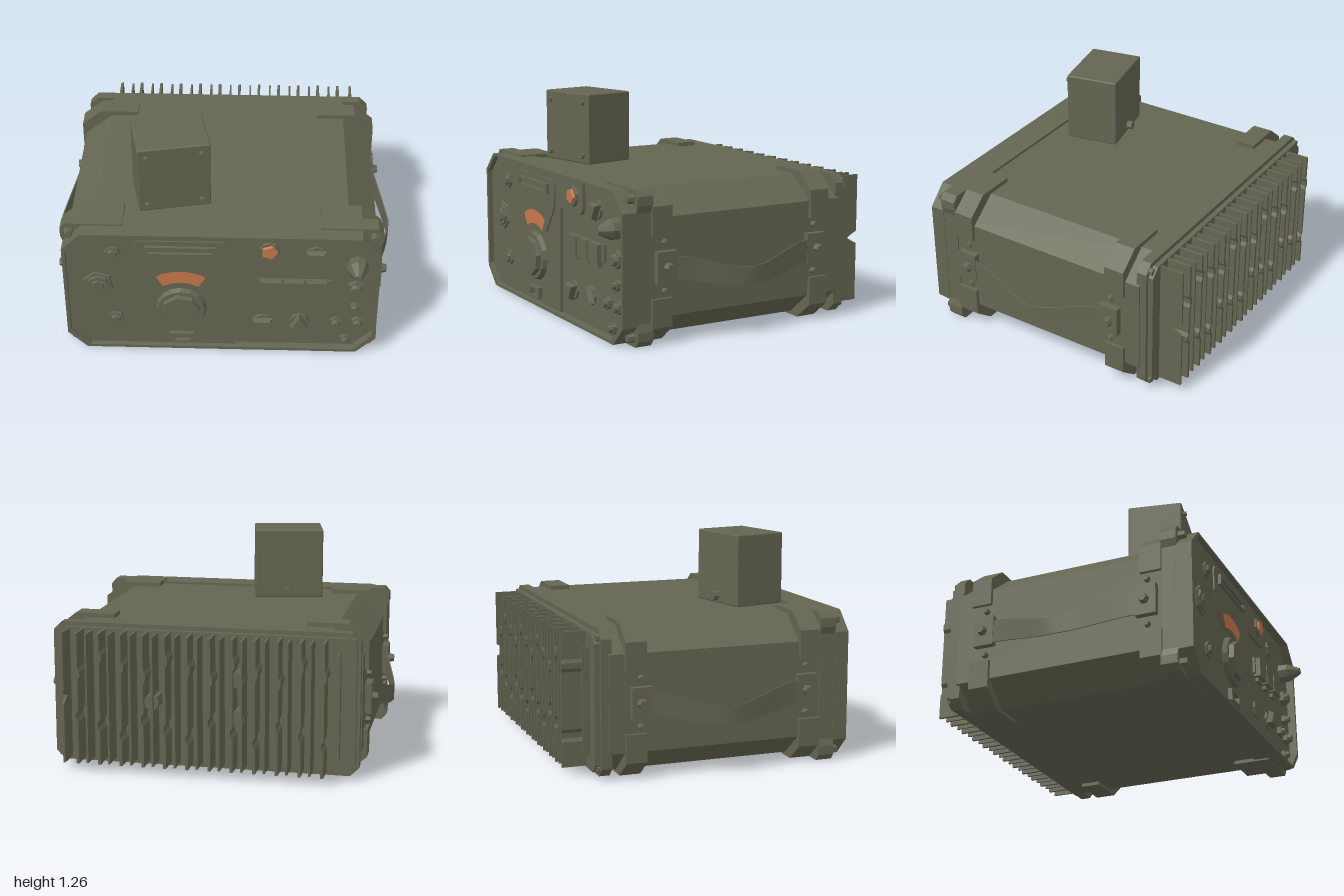
import * as THREE from 'three';
import { RoundedBoxGeometry } from 'three/addons/geometries/RoundedBoxGeometry.js';

const olive = new THREE.MeshStandardMaterial({ color: 0x646551 });
olive.name = 'olive paint';
const orange = new THREE.MeshStandardMaterial({ color: 0xc6774c });
orange.name = 'orange glass';

function add(parent, name, geo, x = 0, y = 0, z = 0, mat = olive) {
  const m = new THREE.Mesh(geo, mat);
  m.name = name;
  m.position.set(x, y, z);
  parent.add(m);
  return m;
}

const box = (p, name, w, h, d, x, y, z) => add(p, name, new THREE.BoxGeometry(w, h, d), x, y, z);

// prism along z from an outline
function prism(pts, z0, z1, hole) {
  const s = new THREE.Shape(pts.map(([x, y]) => new THREE.Vector2(x, y)));
  if (hole) s.holes.push(new THREE.Path(hole.map(([x, y]) => new THREE.Vector2(x, y))));
  const g = new THREE.ExtrudeGeometry(s, { depth: z1 - z0, bevelEnabled: false });
  return g.translate(0, 0, z0);
}

// right half outline (bottom to top) mirrored into a full one
const mirror = half => [...half, ...half.map(([x, y]) => [-x, y]).reverse()];

// rectangle with cut corners
const cutRect = (w, y0, y1, c) => mirror([[w - c, y0], [w, y0 + c], [w, y1 - c], [w - c, y1]]);

// faceted knob standing along z
function knob(p, name, x, y, z0, z1, r0, r1, n = 6, turn = 0, mat = olive) {
  const g = new THREE.CylinderGeometry(r1, r0, z1 - z0, n).toNonIndexed();
  g.computeVertexNormals();
  g.rotateX(Math.PI / 2).rotateZ(turn);
  return add(p, name, g, x, y, (z0 + z1) / 2, mat);
}

// faceted bolt standing along x
function sideBolt(p, name, x, y, z, r, len) {
  const g = new THREE.CylinderGeometry(r * 0.7, r, len, 6).toNonIndexed();
  g.computeVertexNormals();
  return add(p, name, g.rotateZ(-Math.PI / 2), x, y, z);
}

function buildCase(g) {
  add(g, 'body', prism(mirror([[0.72, 0.03], [0.882, 0.16], [0.882, 0.705], [0.715, 0.84]]), -0.64, 0.62));
  add(g, 'rearFrame', prism(cutRect(0.875, 0.03, 0.84, 0.05), -0.68, -0.62));
  add(g, 'rearPlate', prism(cutRect(0.855, 0.05, 0.815, 0.05), -0.71, -0.67));
  add(g, 'bezelBack', prism(cutRect(0.89, 0.02, 0.855, 0.04), 0.6, 0.69));
  add(g, 'bezelRim', prism(cutRect(0.893, 0.015, 0.855, 0.11), 0.69, 0.775, cutRect(0.873, 0.032, 0.842, 0.11)));
  // corner brackets wrapping the case, with square bumpers at the front
  const corner = [[0.555, 0.82], [0.555, 0.865], [0.785, 0.865], [0.903, 0.77],
    [0.903, 0.61], [0.86, 0.61], [0.86, 0.7], [0.7, 0.82]];
  const bumper = [[0.555, 0.82], [0.555, 0.865], [0.875, 0.865], [0.905, 0.83], [0.905, 0.78],
    [0.892, 0.74], [0.86, 0.74]];
  for (const s of [-1, 1]) for (const low of [false, true]) {
    const place = pts => pts.map(([x, y]) => [x * s, low ? 0.875 - y : y]);
    add(g, 'frontBracket', prism(place(corner), 0.475, 0.6));
    add(g, 'rearBracket', prism(place(corner), -0.55, -0.43));
    add(g, 'cornerBumper', prism(place(bumper), 0.595, 0.69));
    const y = low ? 0.06 : 0.815;
    knob(g, 'cornerScrew', s * 0.855, y, 0.69, 0.73, 0.028, 0.022, 6);
    knob(g, 'rearScrew', s * 0.835, low ? 0.075 : 0.795, -0.7, -0.675, 0.02, 0.024, 6);
  }
}

function buildSide(g, s) {
  const side = new THREE.Group();
  side.name = s > 0 ? 'leftHandle' : 'rightHandle';
  side.scale.x = s;
  g.add(side);
  for (const z of [0.515, -0.46]) {
    box(side, 'strapMount', 0.05, 0.175, 0.12, 0.895, 0.437, z);
    sideBolt(side, 'mountBolt', 0.932, 0.437, z - 0.005, 0.032, 0.04);
    for (const y of [0.57, 0.302]) sideBolt(side, 'mountScrew', 0.892, y, z, 0.021, 0.036);
  }
  // sagging carrying strap
  const strap = new THREE.BoxGeometry(0.007, 1, 0.92, 1, 1, 10);
  const p = strap.attributes.position;
  for (let i = 0; i < p.count; i++) {
    const z = p.getZ(i), u = Math.abs(z) / 0.46;
    const b = (1 + Math.cos(Math.PI * u)) / 2;
    const bow = (b + 1 - u) / 2;
    const y = p.getY(i) > 0 ? 0.495 - 0.095 * b : 0.36 - 0.064 * b;
    p.setXYZ(i, p.getX(i) + 0.908 + 0.088 * bow, y, z + 0.025);
  }
  strap.computeVertexNormals();
  add(side, 'strap', strap);
}

function buildHeatSink(g) {
  const sink = new THREE.Group();
  sink.name = 'heatSink';
  g.add(sink);
  for (let i = 0; i < 12; i++) {
    const x = -0.69 + i * 0.1259, a = 0.2 + 0.05 * (i % 3), b = 0.54 + 0.05 * ((i + 1) % 3);
    // fin with slight kinks
    const t = 0.008, pts = [];
    const line = [[0, 0.06], [0, a], [0.013, a + 0.02], [0.013, a + 0.05], [0, a + 0.07],
      [0, b], [-0.012, b + 0.02], [-0.012, b + 0.05], [0, b + 0.07], [0, 0.81]];
    for (const [d, y] of line) pts.push([x + d + t, y]);
    for (const [d, y] of line.slice().reverse()) pts.push([x + d - t, y]);
    add(sink, 'kinkedFin', prism(pts, -0.85, -0.7));
    // straight fin, the outermost one notched
    if (i < 11) box(sink, 'straightFin', 0.011, 0.74, 0.145, x + 0.07, 0.435, -0.775);
  }
  const notched = prism([[-0.7, 0.06], [-0.85, 0.06], [-0.85, 0.4], [-0.78, 0.437], [-0.85, 0.475],
    [-0.85, 0.81], [-0.7, 0.81]], 0, 0.012);
  add(sink, 'notchedFin', notched.rotateY(-Math.PI / 2), 0.781);
  box(sink, 'lowRib', 0.012, 0.6, 0.05, -0.765, 0.435, -0.727);
  for (const [x, y] of [[0.27, 0.43], [-0.21, 0.58], [-0.21, 0.36]])
    knob(sink, 'rearPlug', x, y, -0.825, -0.7, 0.045, 0.045, 8);
}

function buildPanel(g) {
  const f = new THREE.Group();
  f.name = 'frontPanel';
  g.add(f);
  const Z = 0.728, R = 0.745; // recessed and raised panel levels
  add(f, 'panel', prism(cutRect(0.875, 0.03, 0.845, 0.11), 0.69, Z));
  add(f, 'raisedPanel', prism([[0.08, 0.032], [0.1, 0.65], [0.35, 0.65], [0.38, 0.68], [0.38, 0.842],
    [-0.763, 0.842], [-0.873, 0.732], [-0.873, 0.142], [-0.763, 0.032]], 0.7, R));

  // tuning dial
  add(f, 'dialPlate', prism([[-0.48, 0.8], [-0.49, 0.77], [-0.49, 0.65], [-0.46, 0.59], [-0.38, 0.48],
    [-0.08, 0.48], [0, 0.59], [0.035, 0.65], [0.035, 0.77], [0.02, 0.8]], R - 0.01, R + 0.009));
  add(f, 'slotFrame', prism([[-0.43, 0.71], [-0.03, 0.71], [-0.03, 0.77], [-0.43, 0.77]], R, R + 0.027,
    [[-0.41, 0.725], [-0.05, 0.725], [-0.05, 0.75], [-0.41, 0.75]]));
  const arc = new THREE.RingGeometry(0.195, 0.277, 8, 1, Math.PI / 2 - 0.54, 1.08);
  add(f, 'dialScale', arc, -0.23, 0.31, R + 0.012, orange);
  knob(f, 'dialCollar', -0.23, 0.31, R, 0.772, 0.147, 0.135, 16);
  knob(f, 'dialKnob', -0.23, 0.31, 0.77, 0.8, 0.118, 0.113, 8, 0.2);
  add(f, 'smallWindowFrame', prism([[-0.3, 0.055], [-0.16, 0.055], [-0.16, 0.125], [-0.3, 0.125]], R, R + 0.025,
    [[-0.275, 0.07], [-0.18, 0.07], [-0.18, 0.11], [-0.275, 0.11]]));

  // left hand switches
  knob(f, 'hexBase', -0.7, 0.48, R, 0.756, 0.09, 0.085, 6, 0.2);
  knob(f, 'hexKnob', -0.7, 0.48, 0.755, 0.768, 0.066, 0.062, 8);
  knob(f, 'hexCap', -0.7, 0.48, 0.765, 0.775, 0.042, 0.036, 6);
  for (const y of [0.71, 0.225]) {
    knob(f, 'switchNut', -0.61, y, R, 0.758, 0.048, 0.046, 6, 0.3);
    knob(f, 'switchCap', -0.61, y, 0.757, 0.774, 0.032, 0.025, 6);
  }

  // indicator lamp
  knob(f, 'lampRing', 0.27, 0.745, R, 0.76, 0.06, 0.056, 10);
  knob(f, 'lamp', 0.27, 0.745, 0.758, 0.772, 0.05, 0.043, 5, 0.3, orange);

  // triangular selectors
  for (const [x, y, up] of [[0.53, 0.71, 0], [0.235, 0.2, 0], [0.45, 0.21, 1]]) {
    knob(f, 'selectorBase', x, y, Z, Z + 0.012, 0.058, 0.055, 8);
    knob(f, 'selector', x, y, Z + 0.01, 0.77, 0.068, 0.048, 3, up ? Math.PI : 0);
  }

  // push buttons
  box(f, 'buttonPlate', 0.42, 0.1, 0.03, 0.415, 0.478, Z);
  for (let i = 0; i < 3; i++) {
    const x = 0.28 + i * 0.13;
    box(f, 'button', 0.115, 0.115, 0.04, x, 0.47, 0.75);
    box(f, 'buttonTab', 0.06, 0.03, 0.025, x, 0.405, 0.735);
  }

  // right hand connectors
  knob(f, 'coneCollar', 0.765, 0.645, Z, 0.78, 0.06, 0.058, 8);
  knob(f, 'coneKnob', 0.765, 0.645, 0.78, 0.855, 0.058, 0.02, 8);
  for (const [x, y, r] of [[0.765, 0.475, 0.052], [0.765, 0.333, 0.032], [0.66, 0.215, 0.036],
    [0.785, 0.215, 0.04], [0.72, 0.085, 0.032]]) {
    knob(f, 'connectorNut', x, y, Z, 0.752, r, r * 0.95, 6);
    knob(f, 'connectorCap', x, y, 0.75, 0.773, r * 0.72, r * 0.55, 8);
  }
}

function buildTopBox(g) {
  const t = new THREE.Group();
  t.name = 'topBox';
  t.position.set(-0.298, 1.062, 0.362);
  t.rotation.y = 0.2;
  g.add(t);
  add(t, 'boxShell', new RoundedBoxGeometry(0.41, 0.415, 0.315, 2, 0.009));
  for (const x of [-0.155, 0.155]) for (const y of [-0.16, 0.155])
    knob(t, 'boxScrew', x, y, 0.15, 0.178, 0.018, 0.014, 6);
  knob(t, 'boxPlug', 0.005, -0.165, -0.19, -0.15, 0.026, 0.028, 8);
}

export function createModel() {
  const g = new THREE.Group();
  g.name = 'fieldRadio';
  buildCase(g);
  for (const s of [-1, 1]) buildSide(g, s);
  buildHeatSink(g);
  buildPanel(g);
  buildTopBox(g);
  return g;
}
